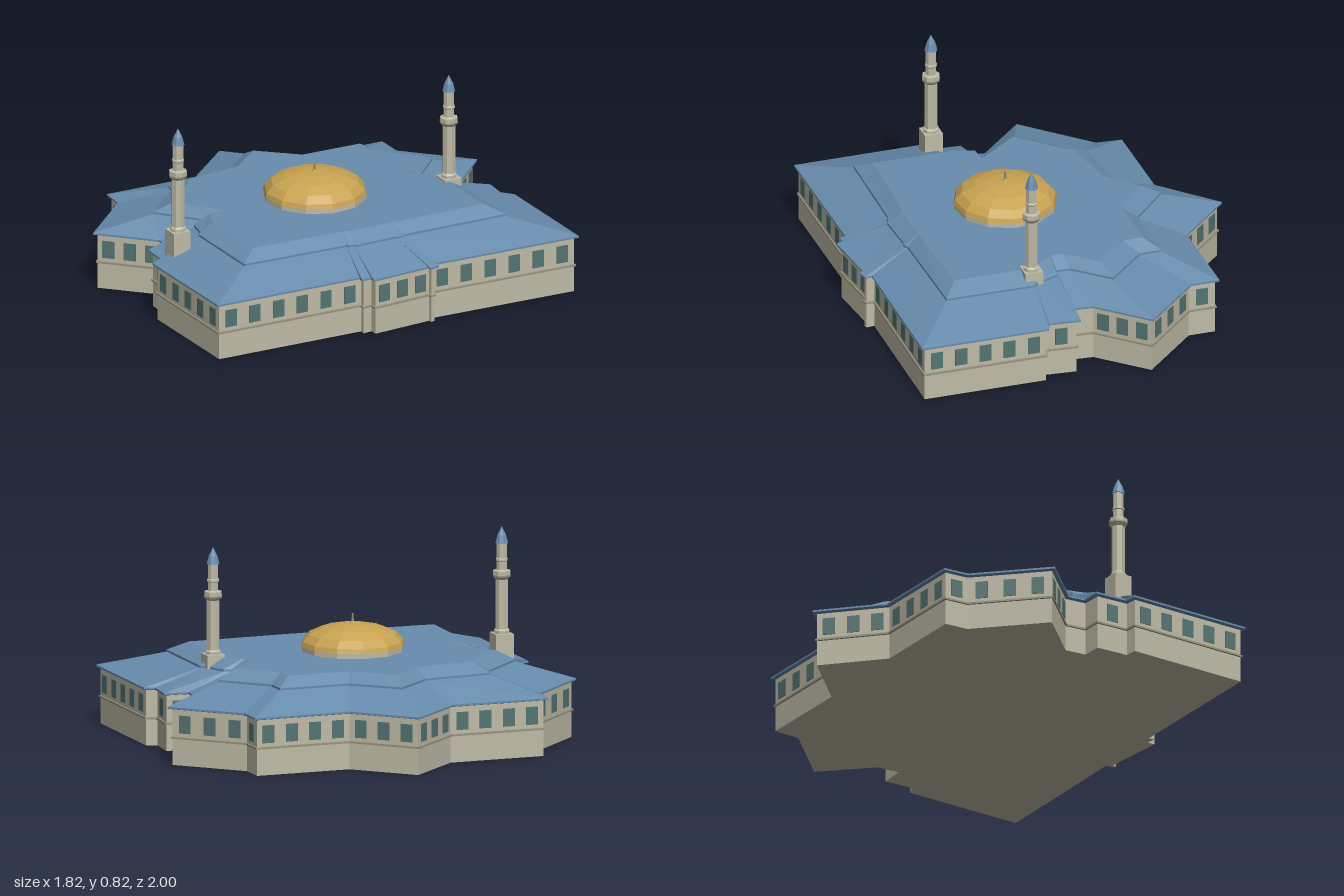
import * as THREE from 'three';

// Roof plan, clockwise from above: eave x, z and matching plateau x, z
const PLAN = [
  [0.01, -1.0, -0.01, -0.64], [0.125, -0.75, 0.065, -0.485], [0.195, -0.715, 0.112, -0.465],
  [0.24, -0.81, 0.125, -0.475], [0.36, -0.75, 0.225, -0.495], [0.39, -0.785, 0.25, -0.5],
  [0.905, -0.58, 0.56, -0.375], [0.65, 0.045, 0.41, 0.03], [0.68, 0.055, 0.408, 0.035],
  [0.672, 0.1, 0.403, 0.05], [0.655, 0.095, 0.4, 0.055], [0.58, 0.355, 0.34, 0.215],
  [0.55, 0.343, 0.335, 0.225], [0.54, 0.385, 0.325, 0.24], [0.515, 0.372, 0.32, 0.245],
  [0.27, 0.995, 0.155, 0.63], [-0.25, 0.79, -0.165, 0.5], [-0.235, 0.74, -0.175, 0.49],
  [-0.365, 0.68, -0.24, 0.44], [-0.335, 0.6, -0.228, 0.4], [-0.4, 0.565, -0.22, 0.37],
  [-0.665, 0.675, -0.44, 0.43], [-0.81, 0.34, -0.535, 0.215], [-0.91, 0.29, -0.56, 0.185],
  [-0.757, -0.1, -0.5, -0.065], [-0.873, -0.395, -0.567, -0.245], [-0.577, -0.52, -0.38, -0.34],
  [-0.425, -0.91, -0.28, -0.59], [-0.31, -0.865, -0.2, -0.56],
];
const eave = PLAN.map(p => new THREE.Vector2(p[0], p[1]));
const plateau = PLAN.map(p => new THREE.Vector2(p[2], p[3]));
const between = t => eave.map((p, i) => p.clone().lerp(plateau[i], t));

// Move every edge of an outline inward by d, with mitred corners
function inset(pts, d) {
  const n = pts.length;
  const inward = (a, b) => new THREE.Vector2(a.y - b.y, b.x - a.x).normalize();
  return pts.map((p, i) => {
    const n1 = inward(pts[(i + n - 1) % n], p), n2 = inward(p, pts[(i + 1) % n]);
    const k = d / Math.max(0.4, 1 + n1.dot(n2));
    return p.clone().addScaledVector(n1, k).addScaledVector(n2, k);
  });
}

// Faceted skin through a stack of outlines [points, height], with optional caps
function loft(rings, capBottom, capTop) {
  const pos = [];
  const put = (ring, i) => pos.push(ring[0][i].x, ring[1], ring[0][i].y);
  for (let r = 0; r < rings.length - 1; r++) {
    const lo = rings[r], hi = rings[r + 1], n = lo[0].length;
    for (let i = 0; i < n; i++) {
      const j = (i + 1) % n;
      put(lo, i); put(hi, i); put(hi, j);
      put(lo, i); put(hi, j); put(lo, j);
    }
  }
  const cap = (ring, up) => {
    for (const [a, b, c] of THREE.ShapeUtils.triangulateShape(ring[0], [])) {
      put(ring, a); put(ring, up ? c : b); put(ring, up ? b : c);
    }
  };
  if (capBottom) cap(rings[0], false);
  if (capTop) cap(rings[rings.length - 1], true);
  const g = new THREE.BufferGeometry();
  g.setAttribute('position', new THREE.Float32BufferAttribute(pos, 3));
  g.computeVertexNormals();
  return g;
}

function material(name, color) {
  const m = new THREE.MeshStandardMaterial({ color, flatShading: true });
  m.name = name;
  return m;
}

function add(parent, name, geometry, mat, x = 0, y = 0, z = 0) {
  const mesh = new THREE.Mesh(geometry, mat);
  mesh.name = name;
  mesh.position.set(x, y, z);
  parent.add(mesh);
  return mesh;
}

const lathe = (profile, sides) =>
  new THREE.LatheGeometry(profile.map(([r, y]) => new THREE.Vector2(r, y)), sides);

export function createModel() {
  const model = new THREE.Group();
  model.name = 'domedBuilding';
  const stone = material('stone', 0xc0bba7);
  const trim = material('darkStone', 0x99937f);
  const blue = material('blueRoof', 0x688cad);
  const gold = material('goldDome', 0xc9a352);
  const glass = material('windowGlass', 0x547573);

  // Walls, string course and roof
  const wall = inset(eave, 0.015), course = inset(eave, 0.009), mid = between(0.76);
  add(model, 'walls', loft([[wall, 0], [wall, 0.24]], true, false), stone);
  add(model, 'stringCourse',
    loft([[wall, 0.11], [course, 0.111], [course, 0.119], [wall, 0.12]]), trim);
  add(model, 'roof', loft([[wall, 0.234], [eave, 0.238], [eave, 0.246],
    [mid, 0.317], [mid, 0.326], [plateau, 0.365]], false, true), blue);

  // Evenly spaced windows on every wall that is long enough
  const windows = new THREE.Group();
  windows.name = 'windows';
  model.add(windows);
  const pane = new THREE.BoxGeometry(0.052, 0.075, 0.006);
  wall.forEach((a, i) => {
    const b = wall[(i + 1) % wall.length], length = a.distanceTo(b);
    if (length < 0.1) return;
    const count = Math.max(1, Math.round(length / 0.105));
    for (let k = 0; k < count; k++) {
      const p = a.clone().lerp(b, (k + 0.5) / count);
      add(windows, 'window', pane, glass, p.x, 0.173, p.y)
        .rotation.y = Math.atan2(b.y - a.y, a.x - b.x);
    }
  });

  // Twelve-sided dome on a low drum
  const dome = new THREE.Group();
  dome.name = 'dome';
  dome.position.set(-0.033, 0, 0);
  model.add(dome);
  add(dome, 'drum', lathe([[0.215, 0.36], [0.215, 0.388]], 12), stone);
  add(dome, 'domeShell', lathe([[0.218, 0.386], [0.212, 0.405], [0.185, 0.435],
    [0.13, 0.46], [0.065, 0.474], [0, 0.479]], 12), gold);
  add(dome, 'finial', new THREE.CylinderGeometry(0.004, 0.006, 0.045, 6), trim, 0, 0.495, 0);
  add(dome, 'finialBase', new THREE.CylinderGeometry(0.008, 0.012, 0.008, 8), gold, 0, 0.481, 0);

  // Two towers with plinth, shaft, balcony and pointed cap
  for (const [x, z] of [[-0.205, 0.68], [0.26, -0.515]]) {
    const tower = new THREE.Group();
    tower.name = 'minaret';
    tower.position.set(x, 0, z);
    tower.rotation.y = -0.38;
    model.add(tower);
    add(tower, 'plinth', new THREE.BoxGeometry(0.078, 0.125, 0.078), stone, 0, 0.31, 0);
    add(tower, 'shaft', lathe([[0.034, 0.37], [0.034, 0.385], [0.028, 0.392], [0.028, 0.6],
      [0.038, 0.612], [0.038, 0.636], [0.03, 0.636], [0.023, 0.64], [0.023, 0.675],
      [0.026, 0.678], [0.026, 0.686], [0.023, 0.689], [0.023, 0.755]], 8), stone);
    add(tower, 'balconyBand', lathe([[0.036, 0.611], [0.0395, 0.613], [0.0395, 0.619],
      [0.036, 0.621]], 8), trim);
    add(tower, 'cap', lathe([[0, 0.752], [0.028, 0.752], [0.019, 0.785], [0, 0.822]], 8), blue);
  }
  return model;
}
